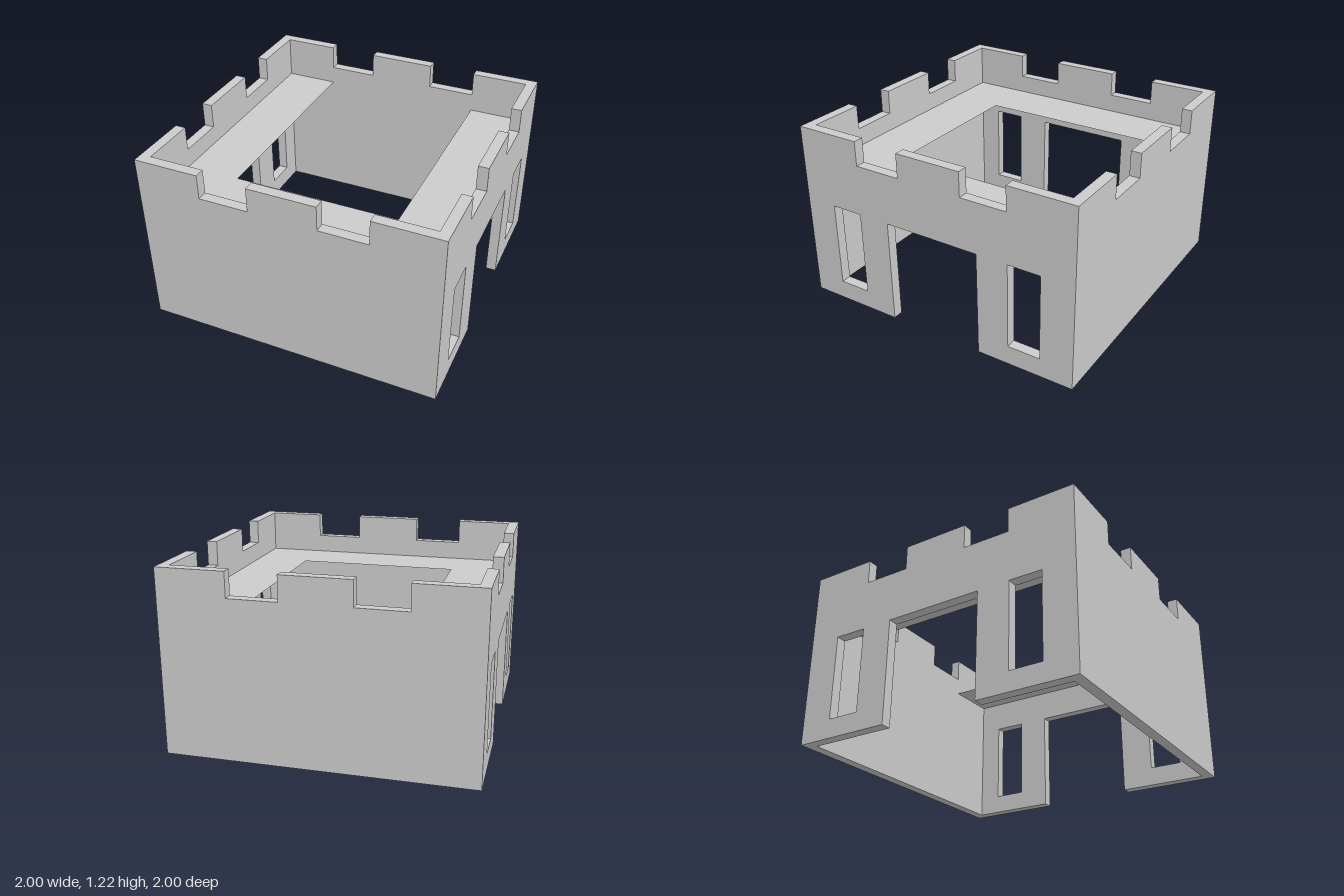
import * as THREE from 'three';

const T = 0.07;            // wall thickness
const TOP = 1.22, NOTCH = 1.055, FLOOR = 0.93;
const DOOR_HALF = 0.335, OPENING_TOP = 0.71, SILL = 0.13;

const material = new THREE.MeshStandardMaterial({ color: 0xcccccc, flatShading: true });
const sheetMaterial = new THREE.MeshStandardMaterial({ color: 0xcccccc, side: THREE.DoubleSide });

function rectPath(x0, y0, x1, y1) {
  return new THREE.Path([[x0, y0], [x1, y0], [x1, y1], [x0, y1]].map(p => new THREE.Vector2(...p)));
}

// Battlemented wall running along x, extruded from z = 0 to z = T
function wallGeometry(half, notches, hasOpenings) {
  const pts = [[-half, 0]];
  if (hasOpenings) {
    pts.push([-DOOR_HALF, 0], [-DOOR_HALF, OPENING_TOP], [DOOR_HALF, OPENING_TOP], [DOOR_HALF, 0]);
  }
  pts.push([half, 0], [half, TOP]);
  for (const [a, b] of notches) pts.push([b, TOP], [b, NOTCH], [a, NOTCH], [a, TOP]);
  pts.push([-half, TOP]);
  const shape = new THREE.Shape(pts.map(p => new THREE.Vector2(...p)));
  if (hasOpenings) {
    shape.holes.push(rectPath(-0.775, SILL, -0.553, OPENING_TOP), rectPath(0.558, SILL, 0.778, OPENING_TOP));
  }
  return new THREE.ExtrudeGeometry(shape, { depth: T, bevelEnabled: false });
}

export function createModel() {
  const model = new THREE.Group();
  model.name = 'castleKeep';
  const add = (name, geometry, mat = material) => {
    const mesh = new THREE.Mesh(geometry, mat);
    mesh.name = name;
    model.add(mesh);
  };

  // Solid front and back walls, fitted between the side walls
  const xNotches = [[0.225, 0.55], [-0.56, -0.23]];
  add('frontWall', wallGeometry(1 - T, xNotches, false).translate(0, 0, 1 - T));
  add('backWall', wallGeometry(1 - T, xNotches, false).translate(0, 0, -1));

  // Side walls with a doorway and two windows
  const zNotches = [[0.227, 0.547], [-0.547, -0.23]];
  const side = () => wallGeometry(1, zNotches, true).rotateY(-Math.PI / 2);
  add('leftWall', side().translate(1, 0, 0));
  add('rightWall', side().translate(-1 + T, 0, 0));

  // U-shaped walkway, open towards the back wall
  const i = 1 - T;
  const walkway = new THREE.Shape([
    [-i, -i], [i, -i], [i, i], [0.555, i], [0.555, -0.555], [-0.56, -0.555], [-0.56, i], [-i, i],
  ].map(p => new THREE.Vector2(...p)));
  add('walkway', new THREE.ShapeGeometry(walkway).rotateX(-Math.PI / 2).translate(0, FLOOR, 0), sheetMaterial);

  return model;
}
